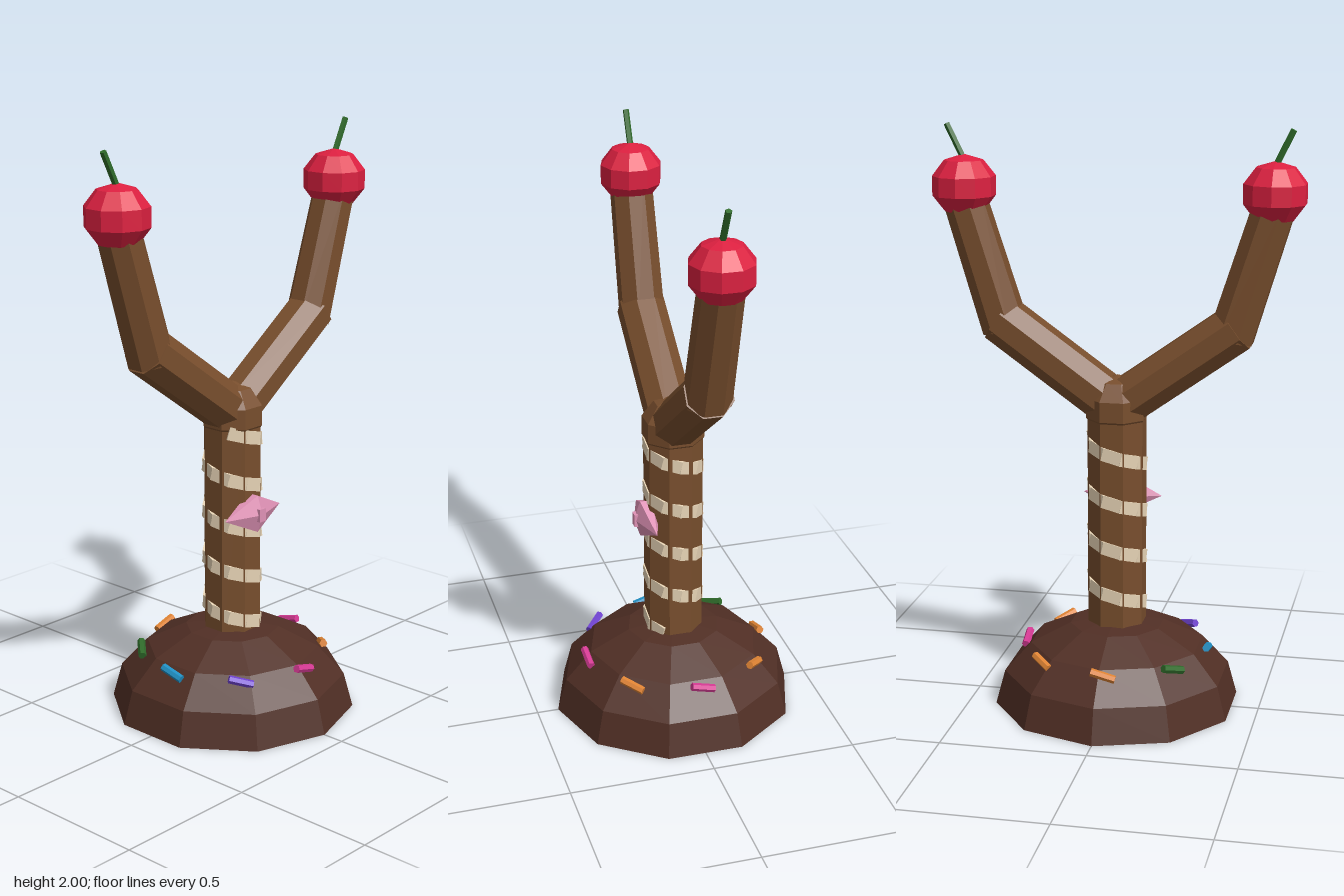
import * as THREE from 'three';

const mat = (name, color) => {
  const m = new THREE.MeshStandardMaterial({ color });
  m.name = name;
  return m;
};

// Facet a geometry so every face has its own normal
function faceted(geometry) {
  const g = geometry.index ? geometry.toNonIndexed() : geometry;
  g.computeVertexNormals();
  return g;
}

export function createModel() {
  const model = new THREE.Group();
  model.name = 'forkedCandyStand';

  const chocolate = mat('dark chocolate', 0x512f25);
  const wood = mat('biscuit brown', 0x784e2d);
  const cream = mat('cream', 0xe6d3b5);
  const bowPink = mat('bow pink', 0xe092b6);
  const cherryRed = mat('cherry red', 0xdc2040);
  const green = mat('green', 0x2f6b2a);
  const magenta = mat('magenta', 0xd63a94);
  const orange = mat('orange', 0xe08434);
  const blue = mat('blue', 0x2090c4);
  const purple = mat('purple', 0x6f42d0);

  const add = (name, geometry, material, parent = model) => {
    const mesh = new THREE.Mesh(faceted(geometry), material);
    mesh.name = name;
    parent.add(mesh);
    return mesh;
  };

  // Straight faceted rod between two points
  const rod = (name, a, b, r0, r1, sides, material, parent) => {
    const from = new THREE.Vector3(...a), to = new THREE.Vector3(...b);
    const dir = to.clone().sub(from);
    const geo = new THREE.CylinderGeometry(r1, r0, dir.length(), sides);
    geo.rotateY(Math.PI / sides);
    const mesh = add(name, geo, material, parent);
    mesh.position.copy(from).add(to).multiplyScalar(0.5);
    mesh.quaternion.setFromUnitVectors(new THREE.Vector3(0, 1, 0), dir.normalize());
    return mesh;
  };

  // Domed ten-sided base
  const profile = [new THREE.Vector2(0, 0)];
  for (let i = 0; i <= 4; i++) {
    const t = (i / 4) * Math.PI / 2;
    profile.push(new THREE.Vector2(i === 4 ? 0 : 0.425 * Math.cos(t), 0.31 * Math.sin(t)));
  }
  add('base', new THREE.LatheGeometry(profile, 10), chocolate);

  // Ring of sprinkles, counted round from the front
  const sprinkles = [magenta, orange, magenta, orange, orange, green, blue, purple];
  sprinkles.forEach((material, i) => {
    const holder = new THREE.Group();
    holder.name = 'sprinkleHolder';
    holder.rotation.y = 0.05 + i * Math.PI / 4;
    const geo = new THREE.CylinderGeometry(0.014, 0.014, 0.085, 6);
    geo.rotateZ(Math.PI / 2 - 0.27);
    add('sprinkle', geo, material, holder).position.set(0, 0.207, 0.317);
    model.add(holder);
  });

  // Handle and fork joint
  rod('handle', [0, 0.25, 0], [0, 1.04, 0], 0.102, 0.102, 8, wood);
  const joint = new THREE.SphereGeometry(0.112, 8, 5);
  joint.rotateY(Math.PI / 8);
  add('forkJoint', joint, wood).position.y = 1.055;

  // Cream wrap winding down the handle in short tilted strips
  const perTurn = 10, pitch = 0.165;
  const wrap = new THREE.Group();
  wrap.name = 'spiralWrap';
  for (let i = -1; i <= 41; i++) {
    const angle = (i / perTurn) * Math.PI * 2;
    const holder = new THREE.Group();
    holder.name = 'wrapTurn';
    holder.rotation.y = angle;
    const strip = add('wrapStrip', new THREE.BoxGeometry(0.066, 0.045, 0.016), cream, holder);
    strip.position.set(0, 0.985 - (i / perTurn) * pitch, 0.0905);
    strip.rotation.z = -0.26;
    wrap.add(holder);
  }
  model.add(wrap);

  // Bow: two flattened cones pointing outward, with a small knot
  for (const s of [1, -1]) {
    const cone = new THREE.ConeGeometry(0.075, 0.138, 6);
    cone.rotateZ(-s * Math.PI / 2);
    cone.scale(1, 1, 0.6);
    add('bowLoop', cone, bowPink).position.set(s * 0.069, 0.72, 0.095);
  }
  add('bowKnot', new THREE.BoxGeometry(0.03, 0.045, 0.03), bowPink).position.set(0, 0.72, 0.126);

  // Two bent arms, each with a cherry and stem
  for (const s of [1, -1]) {
    const arm = new THREE.Group();
    arm.name = s > 0 ? 'leftArm' : 'rightArm';
    rod('lowerArm', [0, 1.055, 0], [s * 0.405, 1.345, 0], 0.085, 0.085, 8, wood, arm);
    rod('upperArm', [s * 0.385, 1.31, 0], [s * 0.525, 1.76, 0], 0.08, 0.074, 8, wood, arm);

    const fruit = new THREE.SphereGeometry(0.112, 10, 5);
    fruit.rotateY(Math.PI / 2);
    fruit.scale(1, 0.94, 1);
    add('cherry', fruit, cherryRed, arm).position.set(s * 0.522, 1.79, 0);
    rod('stem', [s * 0.517, 1.87, 0], [s * 0.578, 1.995, 0], 0.011, 0.011, 5, green, arm);
    model.add(arm);
  }

  return model;
}
